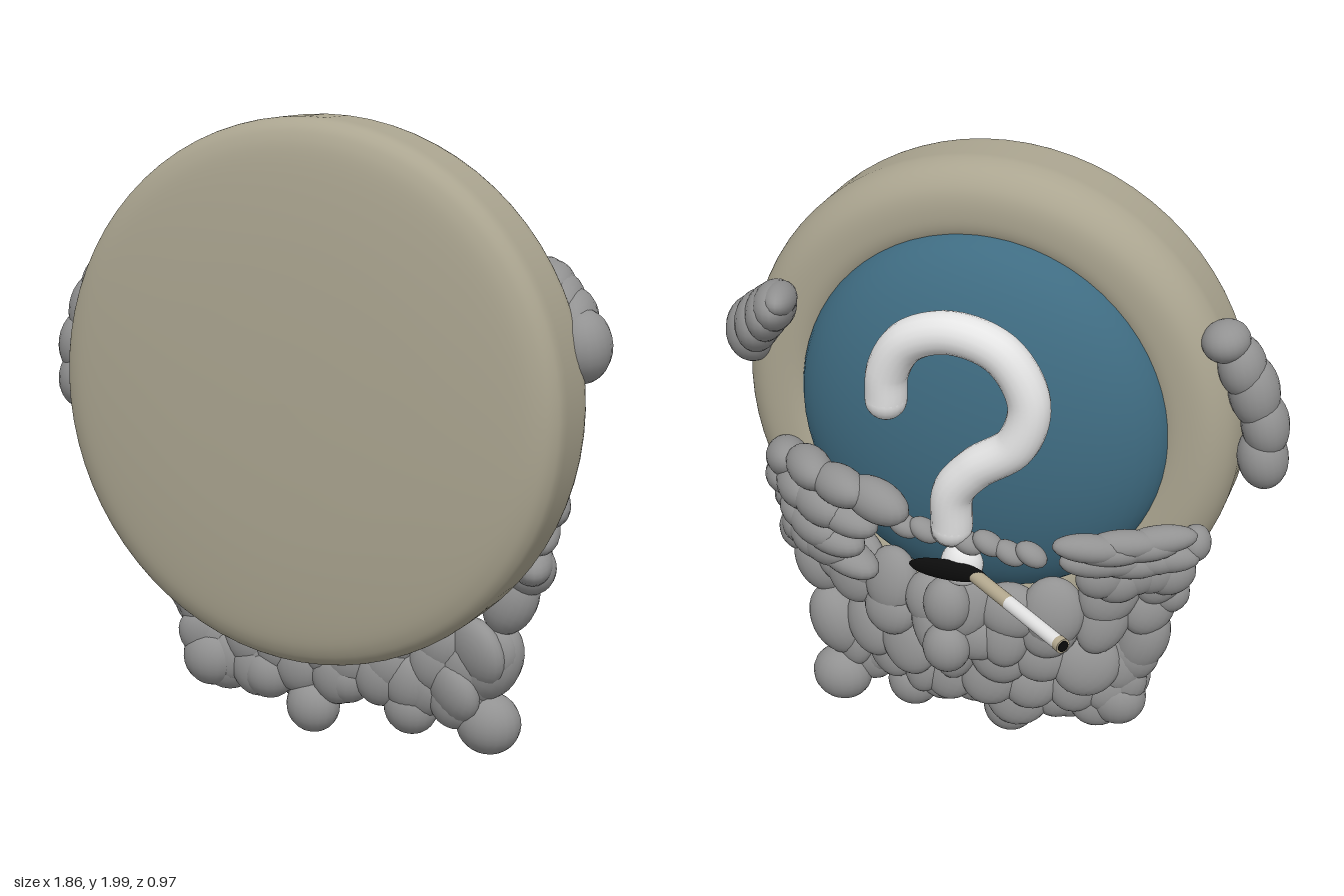
import * as THREE from 'three';

const mat = (name, color) => {
  const m = new THREE.MeshStandardMaterial({ color });
  m.name = name;
  return m;
};

export function createModel() {
  const beige = mat('beige shell', 0xaba590);
  const blue = mat('blue face', 0x3f6c82);
  const grey = mat('grey hair', 0x929292);
  const white = mat('white', 0xe4e4e4);
  const black = mat('black', 0x0c0c0c);
  const tan = mat('tan filter', 0xb5aa90);

  const model = new THREE.Group();
  const add = (name, geo, m, parent = model) => {
    const mesh = new THREE.Mesh(geo, m);
    mesh.name = name;
    parent.add(mesh);
    return mesh;
  };
  const group = (name) => {
    const g = new THREE.Group();
    g.name = name;
    model.add(g);
    return g;
  };
  const ball = new THREE.SphereGeometry(1, 20, 14);
  const blob = (name, parent, m, p, r, rot = [0, 0, 0]) => {
    const mesh = add(name, ball, m, parent);
    mesh.position.set(...p);
    mesh.scale.set(...r);
    mesh.rotation.set(...rot);
  };

  // Round shell: softly rounded rim, slightly domed on +z, face opening on -z
  const profile = new THREE.SplineCurve([
    [0.54, 0.16], [0.61, 0.1], [0.68, 0.087], [0.75, 0.1], [0.802, 0.145], [0.825, 0.21],
    [0.825, 0.29], [0.825, 0.355], [0.815, 0.395], [0.78, 0.428], [0.7, 0.45], [0.5, 0.468], [0.25, 0.477], [0, 0.48],
  ].map(([r, z]) => new THREE.Vector2(r, z))).getPoints(70);
  profile.forEach((p) => { p.x = Math.min(Math.max(p.x, 0), 0.825); });
  const shell = add('roundShell', new THREE.LatheGeometry(profile, 72).rotateX(Math.PI / 2), beige);
  shell.position.set(0.05, 1.175, 0);

  // Domed face
  const face = add('faceDome', new THREE.SphereGeometry(1, 48, 32), blue);
  face.position.set(0.04, 1.175, 0.13);
  face.scale.set(0.615, 0.615, 0.26);

  // Question-mark shaped nose and brow
  const hook = group('questionMark');
  const path = new THREE.CatmullRomCurve3([
    [0.255, 1.33, -0.17], [0.245, 1.43, -0.175], [0.18, 1.535, -0.18], [0.04, 1.583, -0.18], [-0.12, 1.535, -0.18],
    [-0.205, 1.39, -0.18], [-0.17, 1.25, -0.19], [-0.04, 1.15, -0.195], [0.03, 1.06, -0.195], [0.04, 0.93, -0.185],
  ].map((p) => new THREE.Vector3(...p)));
  add('hookTube', new THREE.TubeGeometry(path, 64, 0.066, 18), white, hook);
  [0, 1].forEach((t) => blob('hookEnd', hook, white, path.getPoint(t).toArray(), [0.066, 0.066, 0.066]));
  blob('hookDot', hook, white, [0.02, 0.775, -0.15], [0.07, 0.075, 0.06]);

  // Mouth
  blob('mouth', model, black, [0.05, 0.775, -0.2], [0.13, 0.036, 0.018]);

  // Cigarette made of aligned cylinder sections
  const cig = group('cigarette');
  const from = new THREE.Vector3(-0.04, 0.768, -0.195);
  const to = new THREE.Vector3(-0.41, 0.757, -0.475);
  const dir = to.clone().sub(from);
  const len = dir.length();
  const section = (name, a, b, r, m) => {
    const c = add(name, new THREE.CylinderGeometry(r, r, (b - a) * len, 20), m, cig);
    c.position.copy(from).addScaledVector(dir, (a + b) / 2);
    c.quaternion.setFromUnitVectors(new THREE.Vector3(0, 1, 0), dir.clone().normalize());
  };
  section('filter', 0, 0.4, 0.023, tan);
  section('paper', 0.4, 0.95, 0.023, white);
  section('tipRing', 0.95, 1, 0.024, tan);
  section('tip', 0.99, 1.006, 0.018, black);

  // Small seeded variation for the hair clumps
  let seed = 7;
  const vary = (amount) => {
    seed = (seed * 16807) % 2147483647;
    return (seed / 2147483647 - 0.5) * 2 * amount;
  };

  // Main beard: overlapping flat clumps, rising at the sides, wrapping the lower face
  // Each row: height, half width, depth at the middle, count, side wrap
  const beard = group('beard');
  [
    [0.57, 0.58, -0.085, 9, 0.165], [0.48, 0.56, -0.08, 9, 0.155], [0.38, 0.5, -0.05, 8, 0.13],
    [0.3, 0.47, -0.01, 8, 0.09], [0.22, 0.4, 0.035, 7, 0.05],
  ].forEach(([y, half, z, n, wrap], row) => {
    for (let i = 0; i < n; i++) {
      const u = (i / (n - 1)) * 2 - 1;
      const x = 0.02 + u * half;
      const lift = row < 2 ? 0.14 * u * u : 0;
      blob('beardClump', beard, grey, [x + vary(0.025), y + lift + vary(0.03), z + wrap * u * u + vary(0.012)],
        [0.095 + vary(0.02), 0.11 + vary(0.02), 0.06], [0.2, u * -0.45, -u * 0.5 + vary(0.4)]);
      if (row > 1) blob('beardBackClump', beard, grey, [x + vary(0.03), y + vary(0.02), 0.085], [0.09, 0.1, 0.06], [0, 0, -u * 0.4]);
    }
  });
  // Loose clumps along the beard's edges and middle: x, y, z, radius, stretch, tilt
  [
    [-0.44, 0.215, 0.09, 0.1, 1, 0], [-0.23, 0.19, 0.08, 0.09, 1, 0], [-0.07, 0.1, 0.08, 0.09, 1, 0], [0.05, 0.21, 0.07, 0.085, 1, 0],
    [0.27, 0.145, 0.06, 0.09, 1, 0], [0.53, 0.13, 0.05, 0.105, 0.95, 0], [0.54, 0.34, 0.06, 0.1, 1.35, -0.4],
    [-0.52, 0.46, 0.09, 0.085, 1.6, 0.35], [-0.59, 0.65, 0.1, 0.075, 1, 0], [0.67, 0.66, 0.09, 0.085, 1, 0],
    [0.61, 0.55, 0.08, 0.085, 1.4, -0.4], [0.08, 0.44, -0.135, 0.08, 1.1, 0], [0.08, 0.6, -0.125, 0.08, 1.2, 0],
  ].forEach(([x, y, z, r, s, tilt]) => blob('beardTip', beard, grey, [x, y, z], [r, r * s, r * 0.85], [0, 0, tilt]));

  // Cheek hair on +x: layered strands sweeping round the shell
  const cheeks = group('cheekHair');
  [
    [0.95, 0.3, 0.7, -0.165, 0.05], [0.87, 0.42, 0.72, -0.13, 0.08],
    [0.78, 0.48, 0.69, -0.1, 0.08], [0.68, 0.44, 0.67, -0.08, 0.08],
  ].forEach(([y, x0, x1, z0, z1]) => {
    for (let i = 0; i < 4; i++) {
      const t = i / 3;
      blob('leftCheekStrand', cheeks, grey, [x0 + (x1 - x0) * t, y + 0.03 * Math.sin(t * 3) + vary(0.015), z0 + (z1 - z0) * t * t],
        [0.125, 0.065 + vary(0.01), 0.07], [0, -0.35 - 0.75 * t, 0.1 - 0.4 * t + vary(0.15)]);
    }
  });
  // Cheek hair on -x: flat parallel strands reaching outwards
  for (let i = 0; i < 5; i++) {
    const t = i / 4;
    const x = -0.4 - 0.19 * t;
    const z = -0.16 + 0.12 * t;
    blob('rightCheekStrand', cheeks, grey, [x, 0.915 - 0.02 * (i % 2), z], [0.12, 0.045, 0.05], [0, 0.45, 0.15 - 0.2 * t]);
    blob('rightMiddleStrand', cheeks, grey, [x - 0.01, 0.845 + vary(0.015), z + 0.03], [0.115, 0.05, 0.05], [0, 0.45, 0.1]);
    blob('rightLowerStrand', cheeks, grey, [x - 0.02, 0.765 + vary(0.02), z + 0.08], [0.085, 0.075, 0.055], [0, 0.45, -0.3]);
  }
  blob('rightCheekEnd', cheeks, grey, [-0.68, 0.86, 0.07], [0.05, 0.06, 0.06]);

  // Moustache under the hook
  const moustache = group('moustache');
  for (let i = 0; i < 7; i++) {
    blob('moustacheClump', moustache, grey, [0.2 - 0.07 * i, 0.9 - 0.005 * i + vary(0.01), -0.185], [0.055, 0.035, 0.04], [0, 0, 0.5]);
  }

  // Side hair tufts on the shell rim
  const tufts = group('sideHair');
  [
    [0.835, 1.355, 0.135, 0.09, 0.11, 0.11], [0.79, 1.41, 0.08, 0.075, 0.1, 0.15], [0.745, 1.455, 0.055, 0.07, 0.09, 0.16],
    [0.705, 1.495, 0.03, 0.07, 0.08, 0.15], [0.68, 1.525, 0.015, 0.055, 0.055, 0.13],
  ].forEach(([x, y, z, rx, ry, rz]) => blob('leftTuft', tufts, grey, [x, y, z], [rx, ry, rz], [0.2, 0.3, 0]));
  [
    [-0.85, 1.135, 0.19, 0.08, 0.105], [-0.85, 1.25, 0.19, 0.075, 0.11], [-0.81, 1.36, 0.18, 0.08, 0.12],
    [-0.77, 1.44, 0.17, 0.075, 0.1], [-0.72, 1.525, 0.15, 0.075, 0.065],
  ].forEach(([x, y, z, r, h]) => blob('rightTuft', tufts, grey, [x, y, z], [r, h, 0.085], [0, 0, -0.2]));

  return model;
}
